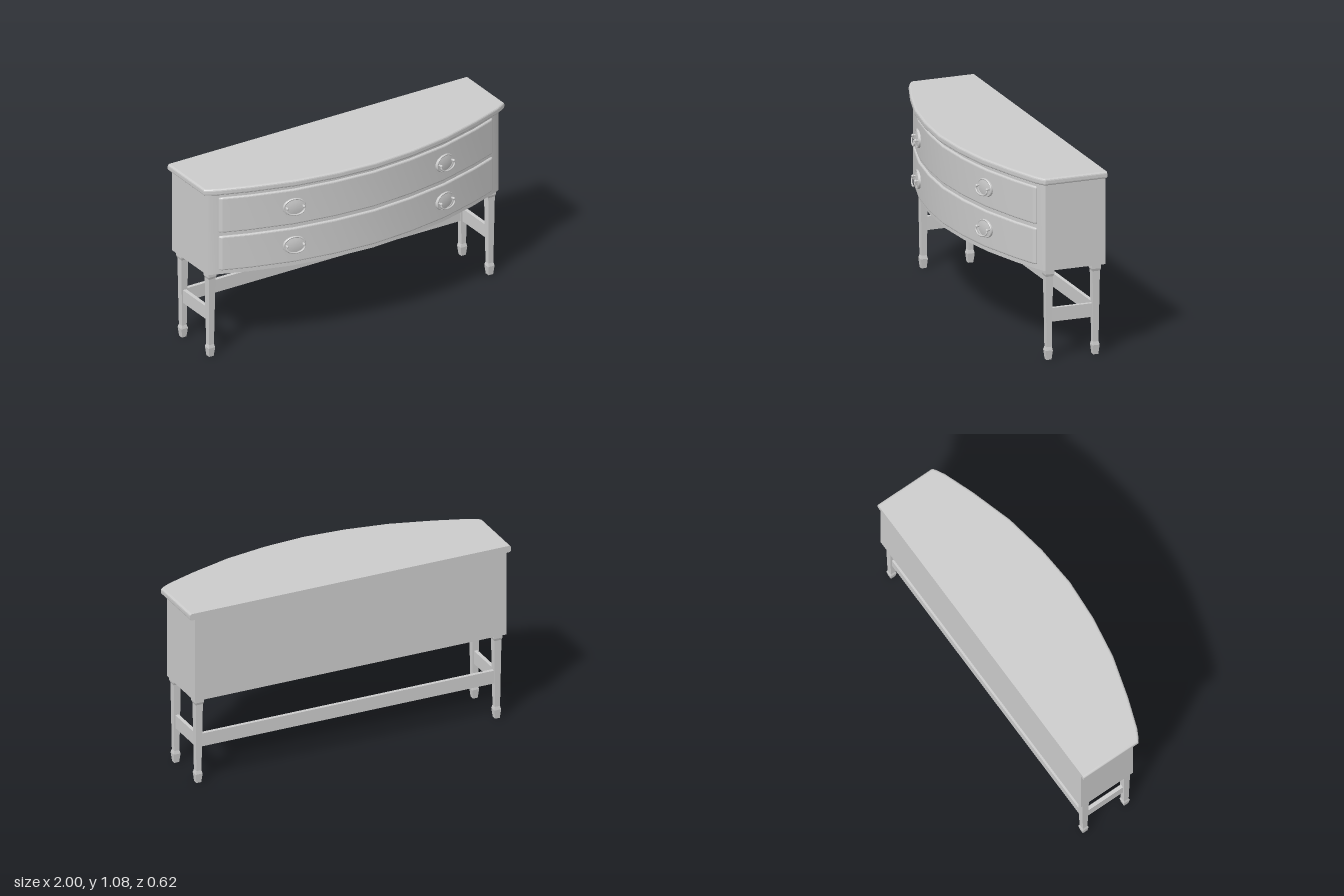
import * as THREE from 'three';
import { toCreasedNormals } from 'three/addons/utils/BufferGeometryUtils.js';

const material = new THREE.MeshStandardMaterial({ color: 0xcccccc });
const flatMaterial = new THREE.MeshStandardMaterial({ color: 0xcccccc, flatShading: true });
const BACK = -0.31;

function add(parent, name, geometry, x = 0, y = 0, z = 0, mat = material) {
  const mesh = new THREE.Mesh(geometry, mat);
  mesh.name = name;
  mesh.position.set(x, y, z);
  parent.add(mesh);
  return mesh;
}

// Bow-fronted slab: half the front curve as [x, z], mirrored, with a square back
function bowSlab(half, back, y0, y1, bevel) {
  const mirrored = half.slice(1).reverse().map(([x, z]) => [-x, z]);
  const front = [...mirrored, ...half];
  const endX = half[half.length - 1][0];
  const outline = [[-endX, back - bevel], ...front, [endX, back - bevel]];
  const shape = new THREE.Shape(outline.map(([x, z]) => new THREE.Vector2(x, -z)));
  const geometry = new THREE.ExtrudeGeometry(shape, {
    depth: y1 - y0 - 2 * bevel,
    bevelEnabled: bevel > 0,
    bevelSize: bevel,
    bevelThickness: bevel,
    bevelOffset: -bevel,
    bevelSegments: 3,
  });
  geometry.rotateX(-Math.PI / 2);
  geometry.translate(0, y0 + bevel, 0);
  // Keep the back flat where the edge is rounded
  const p = geometry.attributes.position;
  for (let i = 0; i < p.count; i++) p.setZ(i, Math.max(p.getZ(i), back));
  return toCreasedNormals(geometry, 0.25);
}

// Square tapered leg with a collar and a spade foot
function legGeometry() {
  const profile = [
    [0, 0], [0.015, 0], [0.021, 0.055], [0.016, 0.075],
    [0.022, 0.49], [0.027, 0.505], [0.027, 0.535], [0, 0.535],
  ];
  const points = profile.map(([r, y]) => new THREE.Vector2(r * Math.SQRT2, y));
  return new THREE.LatheGeometry(points, 4).rotateY(Math.PI / 4);
}

// Oval back plate with a hanging bail
function createHandle() {
  const handle = new THREE.Group();
  handle.name = 'drawerHandle';
  const plateProfile = [[0.068, -0.006], [0.068, 0.004], [0.064, 0.008], [0.058, 0.006], [0.04, 0.009], [0, 0.012]]
    .map(([r, y]) => new THREE.Vector2(r, y));
  const plate = new THREE.LatheGeometry(plateProfile, 32).rotateX(Math.PI / 2).scale(1, 0.78, 1);
  add(handle, 'handlePlate', toCreasedNormals(plate.toNonIndexed(), 0.5));
  const bailCurve = new THREE.CatmullRomCurve3([
    [-0.05, 0.004, 0.022], [-0.052, -0.012, 0.026], [-0.035, -0.03, 0.029], [0, -0.037, 0.03],
    [0.035, -0.03, 0.029], [0.052, -0.012, 0.026], [0.05, 0.004, 0.022],
  ].map((p) => new THREE.Vector3(...p)));
  add(handle, 'handleBail', new THREE.TubeGeometry(bailCurve, 28, 0.005, 8));
  for (const side of [-1, 1]) {
    const post = new THREE.CylinderGeometry(0.006, 0.006, 0.024, 10).rotateX(Math.PI / 2);
    add(handle, 'handlePost', post, side * 0.05, 0.004, 0.011);
    add(handle, 'handleKnob', new THREE.SphereGeometry(0.0085, 12, 8), side * 0.05, 0.004, 0.022);
  }
  return handle;
}

export function createModel() {
  const model = new THREE.Group();
  model.name = 'bowFrontSideboard';

  // Case and overhanging top
  const caseCurve = [[0, 0.268], [0.25, 0.251], [0.5, 0.211], [0.75, 0.138], [0.91, 0.078], [0.955, 0.06], [0.97, 0.05]];
  const topCurve = [[0, 0.305], [0.25, 0.288], [0.5, 0.246], [0.75, 0.172], [0.93, 0.107], [0.98, 0.08], [1, 0.065]];
  add(model, 'case', bowSlab(caseCurve, BACK, 0.53, 1.042, 0));
  add(model, 'top', bowSlab(topCurve, BACK, 1.04, 1.08, 0.012));

  // Two drawer fronts, each with a pair of handles
  const drawerCurve = [
    ...caseCurve.slice(0, 4).map(([x, z]) => [x, z + 0.013]),
    [0.897, 0.096], [0.91, 0.084],
  ];
  for (const [y0, y1, handleY] of [[0.555, 0.77, 0.667], [0.792, 1.013, 0.906]]) {
    add(model, 'drawerFront', bowSlab(drawerCurve, 0, y0, y1, 0.01));
    for (const side of [-1, 1]) {
      const handle = createHandle();
      handle.position.set(side * 0.5, handleY, 0.226);
      handle.rotation.y = side * 0.23;
      model.add(handle);
    }
  }

  // Legs and side stretchers
  const frontZ = 0.02;
  const backZ = -0.263;
  for (const side of [-1, 1]) {
    add(model, 'frontLeg', legGeometry(), side * 0.93, 0, frontZ, flatMaterial);
    add(model, 'backLeg', legGeometry(), side * 0.93, 0, backZ, flatMaterial);
    const length = frontZ - backZ - 0.03;
    add(model, 'sideStretcher', new THREE.BoxGeometry(0.022, 0.08, length), side * 0.93, 0.26, (frontZ + backZ) / 2);
  }

  // Long stretcher between the back legs
  add(model, 'backStretcher', new THREE.BoxGeometry(1.83, 0.08, 0.022), 0, 0.26, backZ);

  return model;
}
